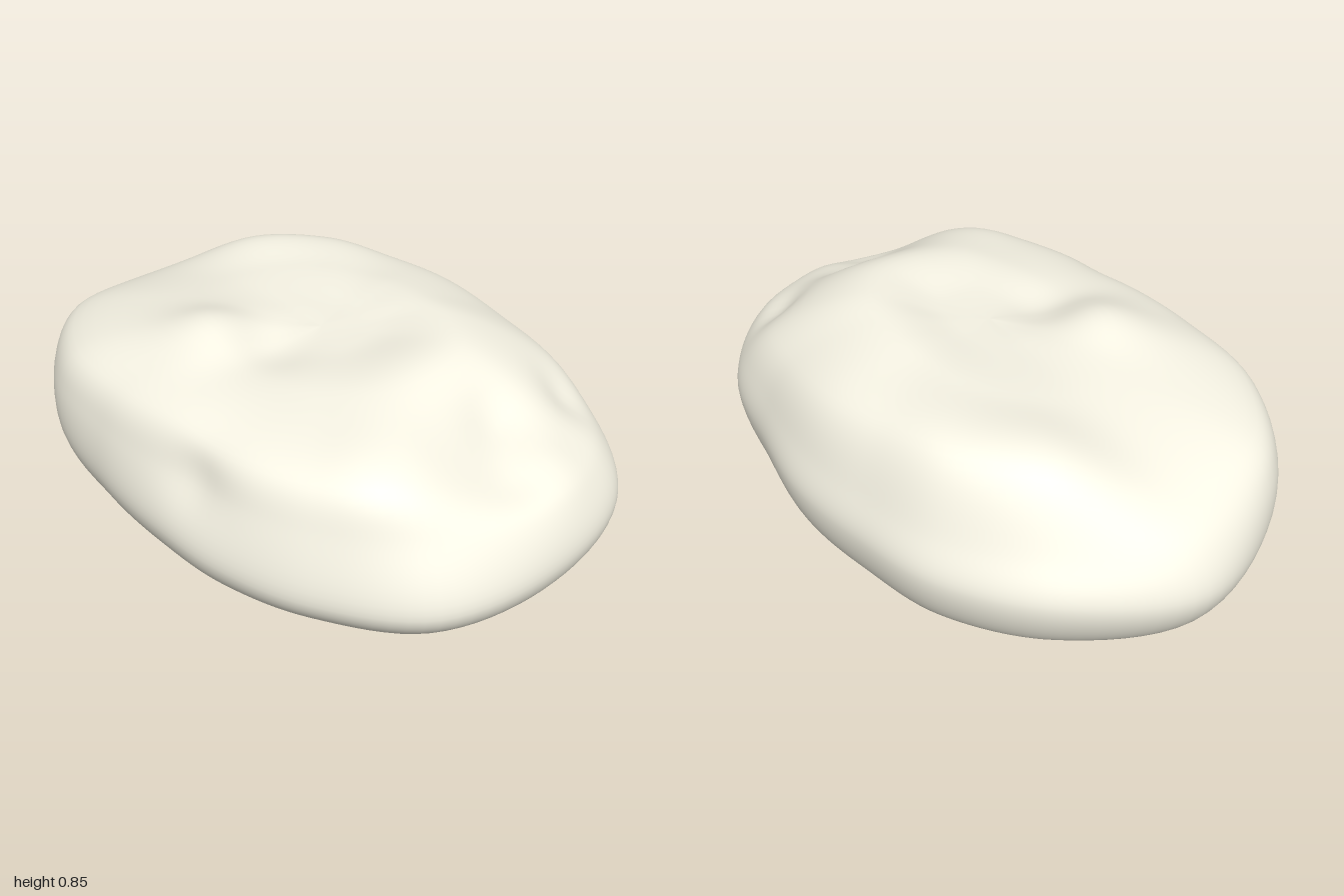
import * as THREE from 'three';
import { mergeVertices } from 'three/addons/utils/BufferGeometryUtils.js';

const COLS = 128, ROWS = 88;
const TOP = 0.795;

// One row per 22.5 degrees, from +x towards +z:
// [girth radius, girth height, shoulder fraction, rim fraction, rim height, plateau height]
const SPOKES = [
  [0.955, 0.41, 0.95, 0.83, 0.68, 0.850], [1.080, 0.40, 0.93, 0.79, 0.65, 0.845],
  [1.070, 0.37, 0.93, 0.80, 0.61, 0.830], [1.035, 0.34, 0.91, 0.80, 0.69, 0.810],
  [0.900, 0.33, 0.93, 0.83, 0.69, 0.785], [0.810, 0.34, 0.93, 0.84, 0.69, 0.775],
  [0.770, 0.35, 0.94, 0.84, 0.70, 0.780], [0.815, 0.35, 0.97, 0.88, 0.69, 0.795],
  [0.960, 0.36, 0.99, 0.91, 0.68, 0.800], [1.080, 0.37, 0.99, 0.92, 0.66, 0.780],
  [1.150, 0.39, 0.94, 0.79, 0.67, 0.770], [1.040, 0.41, 0.93, 0.75, 0.77, 0.795],
  [0.920, 0.41, 0.94, 0.78, 0.78, 0.810], [0.810, 0.41, 0.95, 0.80, 0.76, 0.820],
  [0.790, 0.41, 0.95, 0.82, 0.74, 0.835], [0.815, 0.41, 0.96, 0.84, 0.71, 0.845],
];

// Each ring gives [fraction of girth radius, height] for a spoke, bottom to top
const RINGS = [
  () => [0, 0],
  () => [0.25, 0.01],
  () => [0.5, 0.042],
  () => [0.77, 0.125],
  () => [0.93, 0.22],
  (s) => [1, s[1]],
  (s) => [s[2], 0.55],
  (s) => [s[3], s[4]],
  (s) => [0.46, s[5]],
  (s) => [0.18, TOP + 0.2 * (s[5] - TOP)],
  () => [0, TOP],
];

// Soft dents and swellings: [x, y, z, reach, amount]
const BUMPS = [
  [-0.38, 0.80, 0.06, 0.16, 0.035], [-0.18, 0.78, 0.13, 0.15, -0.035],
  [0.72, 0.60, 0.52, 0.12, 0.03], [0.82, 0.62, 0.17, 0.11, -0.035],
  [0.57, 0.70, 0.42, 0.11, -0.03], [-0.35, 0.57, 0.58, 0.13, -0.035],
  [0.15, 0.68, 0.74, 0.16, 0.02], [-0.35, 0.79, -0.68, 0.18, 0.01],
];

// Stone surface: vertical ribs lofted through closed horizontal sections
function stoneGeometry() {
  const sections = RINGS.map((ring) => {
    const points = SPOKES.map((s, i) => {
      const a = (i / SPOKES.length) * Math.PI * 2;
      const [f, y] = ring(s);
      return new THREE.Vector3(Math.cos(a) * s[0] * f, y, Math.sin(a) * s[0] * f);
    });
    return new THREE.CatmullRomCurve3(points, true, 'catmullrom');
  });

  const positions = [], index = [];
  for (let i = 0; i < COLS; i++) {
    const rib = new THREE.CatmullRomCurve3(sections.map((s) => s.getPoint(i / COLS)));
    for (let j = 0; j <= ROWS; j++) {
      positions.push(...rib.getPoint(j / ROWS).toArray());
      if (j === ROWS) continue;
      const a = i * (ROWS + 1) + j;
      const b = ((i + 1) % COLS) * (ROWS + 1) + j;
      if (j > 0) index.push(a, a + 1, b);
      if (j < ROWS - 1) index.push(b, a + 1, b + 1);
    }
  }
  let geo = new THREE.BufferGeometry();
  geo.setAttribute('position', new THREE.Float32BufferAttribute(positions, 3));
  geo.setIndex(index);
  geo = mergeVertices(geo, 1e-5); // joins the points at both poles
  geo.computeVertexNormals();

  // press the dents and swellings into the surface
  const pos = geo.attributes.position, nor = geo.attributes.normal;
  const p = new THREE.Vector3(), n = new THREE.Vector3(), c = new THREE.Vector3();
  for (let i = 0; i < pos.count; i++) {
    p.fromBufferAttribute(pos, i);
    n.fromBufferAttribute(nor, i);
    let d = 0;
    for (const [x, y, z, reach, amount] of BUMPS) {
      d += amount * Math.exp(-p.distanceToSquared(c.set(x, y, z)) / (reach * reach));
    }
    p.addScaledVector(n, d);
    pos.setXYZ(i, p.x, p.y, p.z);
  }
  geo.computeVertexNormals();
  return geo;
}

export function createModel() {
  const group = new THREE.Group();
  group.name = 'rock';
  const stone = new THREE.Mesh(
    stoneGeometry(),
    new THREE.MeshStandardMaterial({ color: 0xf6f3e4 }),
  );
  stone.name = 'stone';
  group.add(stone);
  return group;
}
